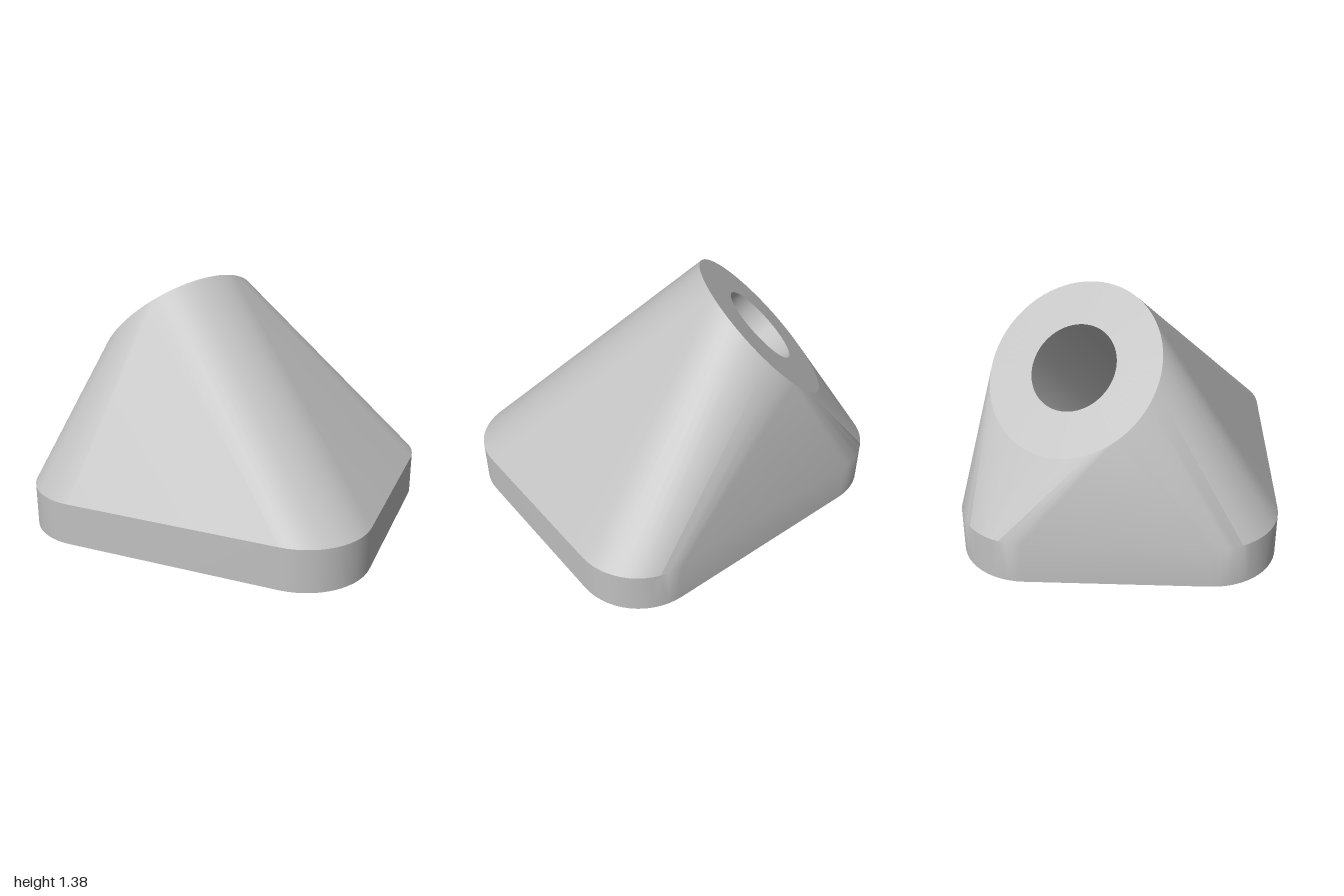
import * as THREE from 'three';
import { toCreasedNormals } from 'three/addons/utils/BufferGeometryUtils.js';
import { ConvexGeometry } from 'three/addons/geometries/ConvexGeometry.js';

const SEG = 72;

// Tilted round face: centre, outward normal and two in-plane axes
const centre = new THREE.Vector3(-0.457, 1.012, -0.252);
const normal = new THREE.Vector3(-0.63, 0.698, -0.34).normalize();
const u = new THREE.Vector3(0, 1, 0).cross(normal).normalize();
const v = normal.clone().cross(u);
const FACE_R = 0.507, HOLE_R = 0.25, BORE_R = 0.293, HOLE_DEPTH = 1;

// Circle about the tilted axis at a depth below the face
function ring(radius, depth) {
  return Array.from({ length: SEG }, (_, i) => {
    const a = (i / SEG) * Math.PI * 2;
    return centre.clone().addScaledVector(normal, -depth)
      .addScaledVector(u, radius * Math.cos(a))
      .addScaledVector(v, radius * Math.sin(a));
  });
}

// Slide each point along the axis until it meets the floor
const toFloor = (points) => points.map((p) => {
  const q = p.clone().addScaledVector(normal, -p.y / normal.y);
  q.y = 0;
  return q;
});

// Band of quads between two closed loops
function band(a, b) {
  const pos = [];
  for (let i = 0; i < SEG; i++) {
    const j = (i + 1) % SEG;
    for (const p of [a[i], a[j], b[j], a[i], b[j], b[i]]) pos.push(p.x, p.y, p.z);
  }
  const g = new THREE.BufferGeometry();
  g.setAttribute('position', new THREE.Float32BufferAttribute(pos, 3));
  return toCreasedNormals(g, Math.PI / 6);
}

// Rounded rectangle of the base
function basePoints() {
  const w = 1, d = 0.875, r = 0.38, n = 14, pts = [];
  [[1, 1], [-1, 1], [-1, -1], [1, -1]].forEach(([sx, sz], k) => {
    for (let i = 0; i <= n; i++) {
      const a = (k + i / n) * Math.PI / 2;
      pts.push(new THREE.Vector2(sx * (w - r) + r * Math.cos(a), sz * (d - r) + r * Math.sin(a)));
    }
  });
  return pts;
}

// Skin stretched over base and round face, left open at both ends
function skin(outline, rim) {
  const pts = [...rim];
  for (const y of [0, 0.247]) for (const p of outline) pts.push(new THREE.Vector3(p.x, y, p.y));
  const src = new ConvexGeometry(pts).getAttribute('position');
  const onFace = (p) => Math.abs(p.clone().sub(centre).dot(normal)) < 1e-4;
  const onFloor = (p) => Math.abs(p.y) < 1e-5;
  const pos = [];
  for (let i = 0; i < src.count; i += 3) {
    const tri = [0, 1, 2].map((k) => new THREE.Vector3().fromBufferAttribute(src, i + k));
    if (tri.every(onFace) || tri.every(onFloor)) continue;
    tri.forEach((p) => pos.push(p.x, p.y, p.z));
  }
  const g = new THREE.BufferGeometry();
  g.setAttribute('position', new THREE.Float32BufferAttribute(pos, 3));
  return toCreasedNormals(g, Math.PI / 6);
}

export function createModel() {
  const group = new THREE.Group();
  group.name = 'angledFoot';
  const grey = new THREE.MeshStandardMaterial({ color: 0xc0c0c0, side: THREE.DoubleSide });
  grey.name = 'lightGrey';
  const add = (name, geometry) => {
    const mesh = new THREE.Mesh(geometry, grey);
    mesh.name = name;
    group.add(mesh);
  };

  const outline = basePoints();
  const rim = ring(FACE_R, 0);
  const holeTop = ring(HOLE_R, 0);
  const holeEnd = ring(HOLE_R, HOLE_DEPTH);
  const boreTop = ring(BORE_R, HOLE_DEPTH);
  const boreEnd = toFloor(boreTop);

  add('body', skin(outline, rim));

  // Round face, through hole and wider bore from below
  add('roundFace', band(rim, holeTop));
  add('hole', band(holeTop, holeEnd));
  add('boreLedge', band(holeEnd, boreTop));
  add('bore', band(boreTop, boreEnd));

  // Underside with the slanted opening
  const shape = new THREE.Shape(outline);
  shape.holes.push(new THREE.Path(boreEnd.map((p) => new THREE.Vector2(p.x, p.z))));
  add('underside', new THREE.ShapeGeometry(shape).rotateX(Math.PI / 2));

  return group;
}
